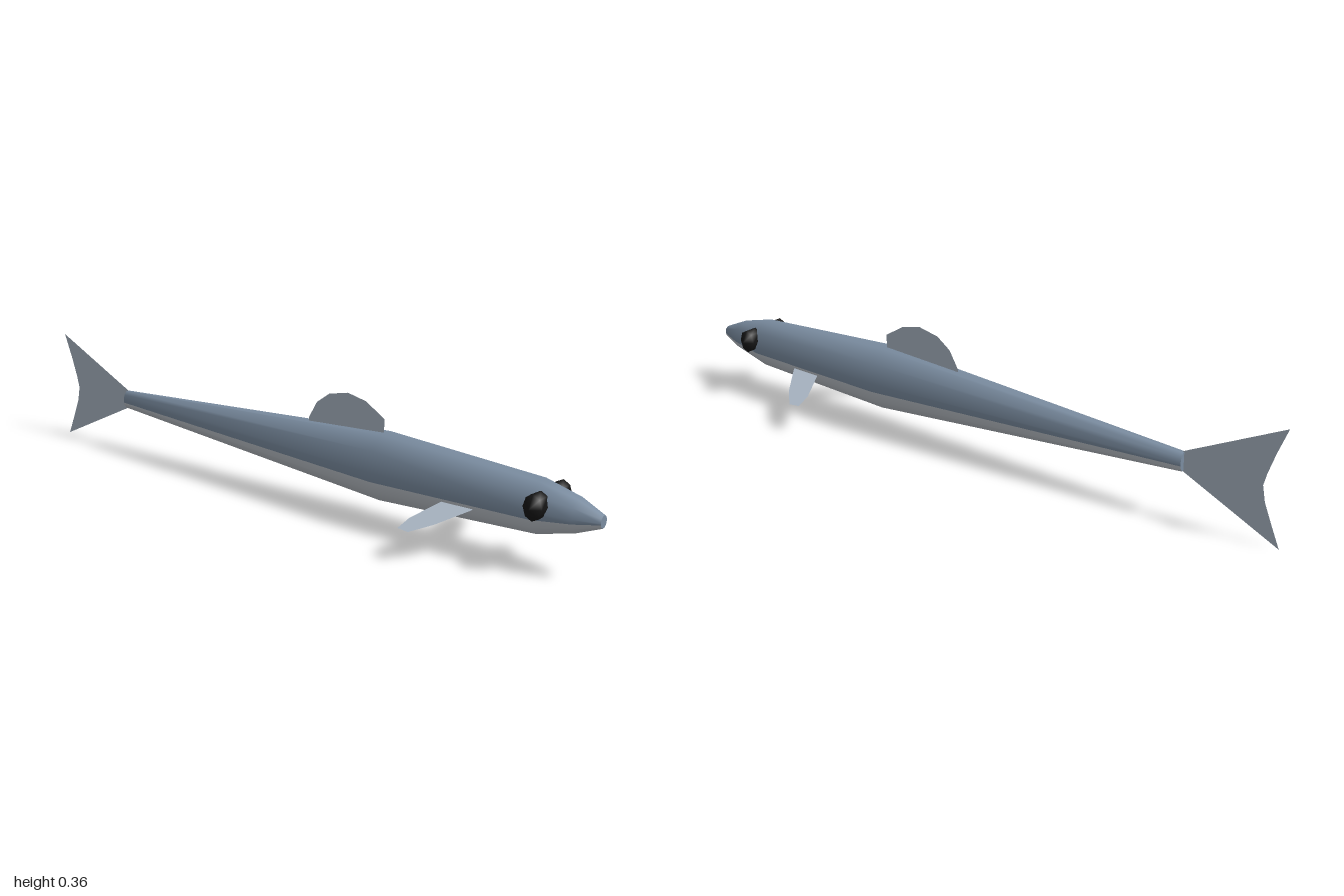
import * as THREE from 'three';

const mat = (name, color, side = THREE.FrontSide) => {
  const m = new THREE.MeshStandardMaterial({ color, side });
  m.name = name;
  return m;
};

// Body: ten-sided oval sections [z, centre y, half width, half height], nose to tail
const SECTIONS = [
  [1, 0.172, 0.016, 0.018],
  [0.93, 0.173, 0.042, 0.048],
  [0.82, 0.172, 0.062, 0.076],
  [0.32, 0.172, 0.077, 0.101],
  [-0.71, 0.174, 0.018, 0.029],
];

// Unit decagon with an extra point on each flank where back and belly colours meet
function sectionOutline() {
  const pts = [];
  for (let i = 0; i < 10; i++) {
    const a = (i * Math.PI) / 5;
    pts.push([Math.cos(a), Math.sin(a)]);
  }
  const mid = (p, q) => [(p[0] + q[0]) / 2, (p[1] + q[1]) / 2];
  const left = mid(pts[9], pts[0]);
  const right = mid(pts[5], pts[6]);
  return [left, ...pts.slice(0, 6), right, ...pts.slice(6)];
}

function bodyGeometry() {
  const outline = sectionOutline();
  const n = outline.length;
  const pos = [], upper = [], lower = [];
  const addRing = ([z, y, rx, ry]) => {
    const start = pos.length / 3;
    outline.forEach(([u, v]) => pos.push(u * rx, y + v * ry, z));
    return start;
  };
  const rings = SECTIONS.map(addRing);
  for (let i = 0; i < rings.length - 1; i++) {
    for (let j = 0; j < n; j++) {
      const k = (j + 1) % n;
      const a = rings[i] + j, b = rings[i] + k, c = rings[i + 1] + k, d = rings[i + 1] + j;
      (j < 7 ? upper : lower).push(a, d, b, b, d, c);
    }
  }
  // Flat caps at the snout and the tail root
  [SECTIONS[0], SECTIONS[SECTIONS.length - 1]].forEach((s, end) => {
    const r = addRing(s);
    for (let j = 1; j < n - 1; j++) {
      upper.push(r, ...(end ? [r + j + 1, r + j] : [r + j, r + j + 1]));
    }
  });
  const g = new THREE.BufferGeometry();
  g.setAttribute('position', new THREE.Float32BufferAttribute(pos, 3));
  g.setIndex([...upper, ...lower]);
  g.addGroup(0, upper.length, 0);
  g.addGroup(upper.length, lower.length, 1);
  g.computeVertexNormals();
  return g;
}

// Flat fin from a 2D outline, placed in space by a mapping rule
function finGeometry(points, place) {
  const g = new THREE.ShapeGeometry(new THREE.Shape(points.map(([u, v]) => new THREE.Vector2(u, v))));
  const p = g.attributes.position;
  for (let i = 0; i < p.count; i++) p.setXYZ(i, ...place(p.getX(i), p.getY(i)));
  g.computeVertexNormals();
  return g;
}

export function createModel() {
  const group = new THREE.Group();
  const back = mat('backBlue', 0x7b8da1);
  const belly = mat('bellySilver', 0xbcc2c9);
  const fin = mat('finGrey', 0xaab6c4, THREE.DoubleSide);
  const eye = mat('eyeBlack', 0x151515);

  const add = (name, geometry, material) => {
    const mesh = new THREE.Mesh(geometry, material);
    mesh.name = name;
    group.add(mesh);
    return mesh;
  };

  add('body', bodyGeometry(), [back, belly]);

  // Upright fins, outlined as [z, y]
  const upright = (z, y) => [0, y, z];
  add('dorsalFin', finGeometry([
    [0.315, 0.25], [0.315, 0.308], [0.25, 0.347], [0.187, 0.36],
    [0.12, 0.345], [0.075, 0.312], [0.045, 0.26], [0.045, 0.23],
  ], upright), fin);
  add('tailFin', finGeometry([
    [-0.705, 0.203], [-1, 0.345], [-0.97, 0.268], [-0.95, 0.208], [-0.941, 0.172],
    [-0.95, 0.125], [-0.97, 0.075], [-1, 0.003], [-0.705, 0.147],
  ], upright), fin);

  // Mirrored side parts
  for (const [side, s] of [['left', 1], ['right', -1]]) {
    // Pectoral fin, outlined as [x, z] and sloping down outwards
    add(side + 'PectoralFin', finGeometry([
      [0.05, 0.557], [0.07, 0.547], [0.15, 0.511], [0.196, 0.506],
      [0.2, 0.542], [0.15, 0.59], [0.065, 0.648], [0.05, 0.655],
    ], (x, z) => [s * x, 0.158 - 0.34 * x, z]), fin);

    // Faceted bulging eye with its pole pointing outwards
    const ball = new THREE.SphereGeometry(1, 8, 3);
    ball.rotateZ(-Math.PI / 2);
    const e = add(side + 'Eye', ball, eye);
    e.scale.set(0.04, 0.042, 0.033);
    e.position.set(s * 0.057, 0.192, 0.838);
  }
  return group;
}
